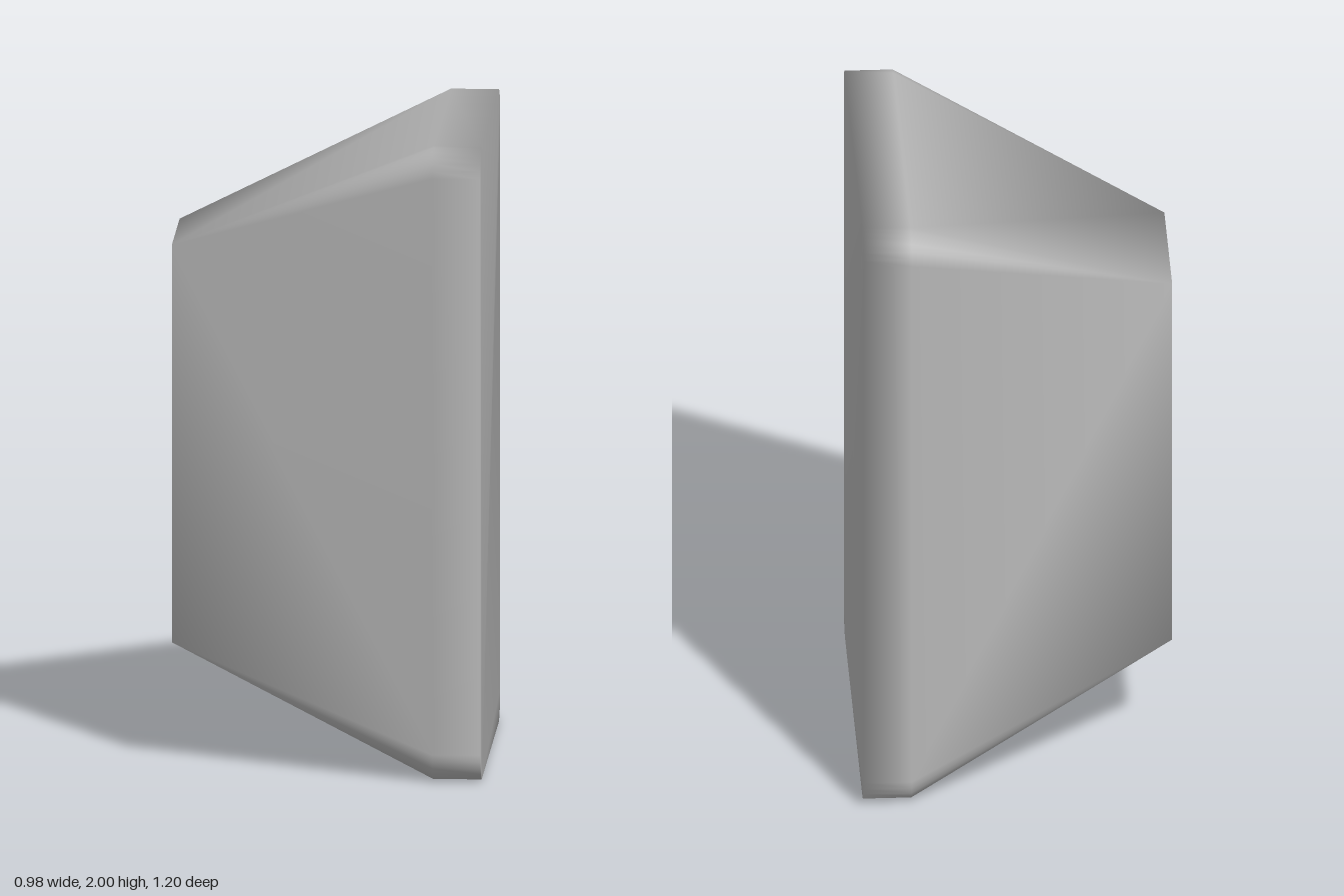
import * as THREE from 'three';

const ARC = 6; // segments in each rounded corner

// Signs of [z, y] for the corners, counterclockwise seen from +x
const CORNERS = [[-1, -1], [-1, 1], [1, 1], [1, -1]];

// Rounded rectangle of the wide end, placed at the given x
function roundedRing(x) {
  const points = [];
  const r = 0.09;
  CORNERS.forEach(([sz, sy], k) => {
    for (let i = 0; i <= ARC; i++) {
      const a = -Math.PI / 2 + (k + i / ARC) * Math.PI / 2;
      points.push(x, 1 + sy * (1 - r) + r * Math.sin(a), sz * (0.6 - r) - r * Math.cos(a));
    }
  });
  return points;
}

// Tapered block: small sharp rectangle at -x, rounded rim and cap at +x
function taperedBlock() {
  const n = 4 * (ARC + 1);
  const rim = (i) => (i + n) % n;
  const cap = (i) => n + (i + n) % n;
  const end = (k) => 2 * n + k % 4;
  const positions = [...roundedRing(0.34), ...roundedRing(0.49)];
  for (const [sz, sy] of CORNERS) positions.push(-0.49, 1.003 + sy * 0.628, sz * 0.235);

  const index = [];
  // Rim band and flat cap, fanned from the lower front corner
  for (let i = 0; i < n; i++) {
    index.push(rim(i), rim(i + 1), cap(i + 1), rim(i), cap(i + 1), cap(i));
    if (i < n - 2) index.push(cap(n - 1), cap(i), cap(i + 1));
  }
  // Sloping walls with corner fans that narrow to the small end
  for (let k = 0; k < 4; k++) {
    const first = k * (ARC + 1), last = first + ARC;
    for (let i = first; i < last; i++) index.push(end(k), rim(i + 1), rim(i));
    const a = end(k), b = end(k + 1), c = rim(last + 1), d = rim(last);
    if (k === 2) index.push(a, c, d, a, b, c);
    else index.push(a, b, d, b, c, d);
  }
  // Walls above are wound inward, so turn them to face out
  const wallStart = 6 * n + 3 * (n - 2);
  for (let i = wallStart; i < index.length; i += 3) {
    [index[i + 1], index[i + 2]] = [index[i + 2], index[i + 1]];
  }
  // Small end
  index.push(end(0), end(2), end(1), end(0), end(3), end(2));

  const geometry = new THREE.BufferGeometry();
  geometry.setAttribute('position', new THREE.Float32BufferAttribute(positions, 3));
  geometry.setIndex(index);
  orientOutward(geometry);
  geometry.computeVertexNormals();
  return geometry;
}

// The block is convex, so every face must point away from its middle
function orientOutward(geometry) {
  const p = geometry.attributes.position, idx = geometry.index;
  const middle = new THREE.Vector3(0.1, 1, 0);
  const tri = new THREE.Triangle(), normal = new THREE.Vector3(), centre = new THREE.Vector3();
  for (let i = 0; i < idx.count; i += 3) {
    const [a, b, c] = [idx.getX(i), idx.getX(i + 1), idx.getX(i + 2)];
    tri.setFromAttributeAndIndices(p, a, b, c);
    tri.getNormal(normal);
    tri.getMidpoint(centre).sub(middle);
    if (normal.dot(centre) < 0) {
      idx.setX(i + 1, c);
      idx.setX(i + 2, b);
    }
  }
}

export function createModel() {
  const grey = new THREE.MeshStandardMaterial({ color: 0xb4b4b4 });
  grey.name = 'grey';
  const block = new THREE.Mesh(taperedBlock(), grey);
  block.name = 'taperedBlock';
  const group = new THREE.Group();
  group.name = 'model';
  group.add(block);
  return group;
}
